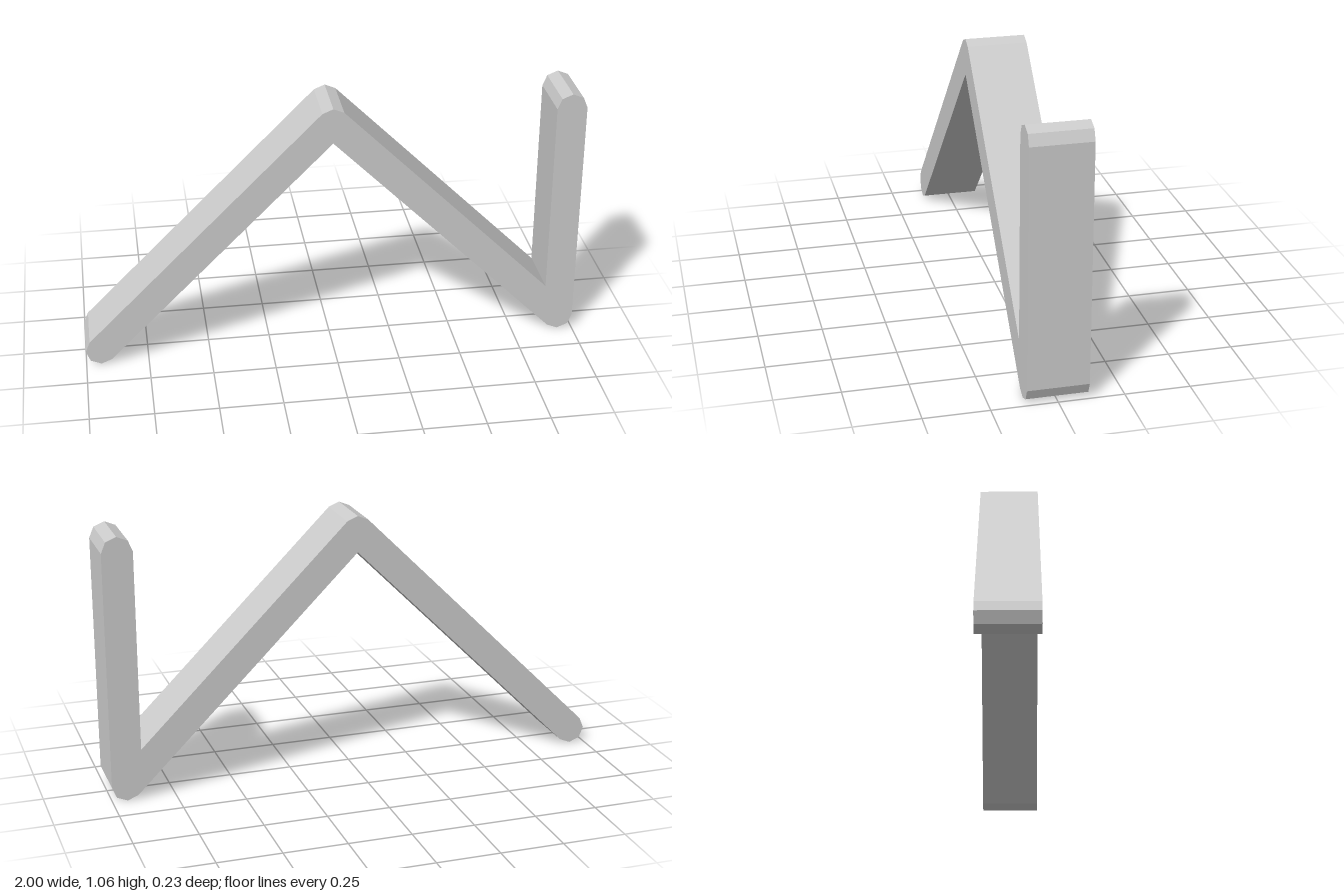
import * as THREE from 'three';

const R = 0.06;       // half thickness of the strip
const DEPTH = 0.234;  // width of the strip along z

export function createModel() {
  const group = new THREE.Group();
  group.name = 'zigzagStrip';
  const grey = new THREE.MeshStandardMaterial({ color: 0xcccccc });
  grey.name = 'light grey';
  grey.flatShading = true;

  // Outline: centre line (-0.94,0.06) (0,1) (0.94,0.06) (0.94,1), rounded in 45 degree steps
  const shape = new THREE.Shape();
  let started = false;
  const point = (x, y) => {
    if (started) shape.lineTo(x, y);
    else shape.moveTo(x, y);
    started = true;
  };
  const arc = (cx, cy, from, to) => {
    for (let a = from; a <= to; a += 45) {
      const t = THREE.MathUtils.degToRad(a);
      point(cx + R * Math.cos(t), cy + R * Math.sin(t));
    }
  };
  const miter = R * Math.SQRT2;
  arc(-0.94, 0.06, 135, 315);               // left foot
  point(0, 1 - miter);                      // inside of the peak
  arc(0.94, 0.06, 225, 360);                // right foot
  arc(0.94, 1, 0, 180);                     // top of the upright
  point(0.94 - R, 0.06 + R + miter);        // inside of the right corner
  arc(0, 1, 45, 135);                       // peak

  // Folded strip
  const geometry = new THREE.ExtrudeGeometry(shape, { depth: DEPTH, bevelEnabled: false });
  geometry.translate(0, 0, -DEPTH / 2);
  const strip = new THREE.Mesh(geometry, grey);
  strip.name = 'foldedStrip';
  group.add(strip);
  return group;
}
